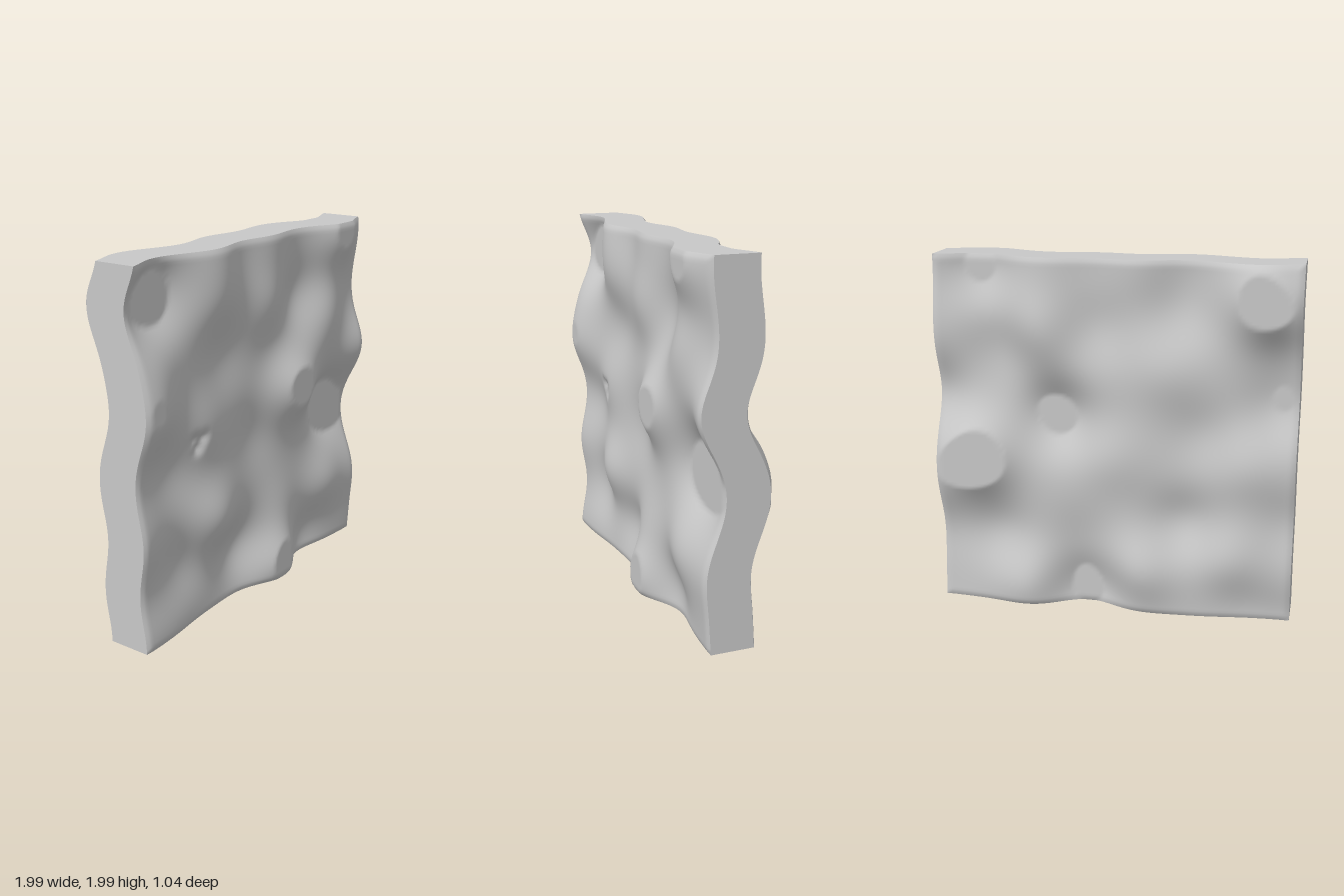
import * as THREE from 'three';

const SIZE = 1.985, THICK = 0.26, TURN = 0.345;

// hills and hollows of the slab: across, up, height
const BUMPS = [
  // left side
  [-1, 0, 0.04], [-0.74, 0.05, 0.03], [-1, 0.57, 0.045], [-0.91, 1.22, 0.085], [-0.9, 1.47, 0.045],
  [-1, 1.98, 0.06], [-0.82, 1.8, -0.13], [-0.72, 0.9, -0.04], [-0.63, 0.36, -0.045],
  // upper middle
  [-0.37, 1.72, 0.055], [-0.38, 1.96, 0.045], [-0.13, 1.96, -0.02], [0.11, 1.96, 0.03],
  [0.35, 1.97, -0.015], [-0.28, 1.4, -0.035], [0.1, 1.62, 0.05], [0.4, 1.6, -0.065],
  // upper right
  [0.74, 1.93, 0.11], [0.62, 1.5, 0.06], [1, 1.55, -0.015], [1, 1.22, 0.08], [0.6, 1.28, 0.025],
  // centre
  [0.31, 1.11, 0.125], [0.12, 1.36, -0.015], [-0.5, 1.05, 0.04], [0, 0.9, -0.035],
  // lower half
  [0.76, 0.88, -0.13], [1, 0.73, -0.035], [1, 0.4, 0.035], [0.66, 0.42, 0.06],
  [-0.4, 0.54, 0.075], [-0.16, 0.26, -0.07], [0.18, 0.4, 0.035], [0.16, 0.1, 0.125],
  [0.47, 0.12, -0.06], [1, 0.1, 0.015],
];

const bell = (dx, dy, r) => Math.exp(-(dx * dx + dy * dy) / (2 * r * r));

// wave height, cut flat at the highest and lowest levels
function wave(u, v) {
  let d = 0;
  for (const [bu, bv, h] of BUMPS) d += h * bell(u - bu, v - bv, 0.145);
  return THREE.MathUtils.clamp(d, -0.06, 0.09);
}

// small three-lobed chip in the front
function chip(u, v) {
  let d = 0;
  for (let i = 0; i < 3; i++) {
    const a = 0.5 + i * Math.PI * 2 / 3;
    d += 0.025 * bell(u + 0.53 - 0.035 * Math.cos(a), v - 1.01 - 0.035 * Math.sin(a), 0.022);
  }
  return d;
}

export function createModel() {
  const stone = new THREE.MeshStandardMaterial({ color: 0xc8c8c8 });
  stone.name = 'stoneGrey';

  // subdivided slab, both faces following the same waves
  const geo = new THREE.BoxGeometry(SIZE, SIZE, THICK, 120, 120, 4);
  geo.translate(0, SIZE / 2, 0);
  const p = geo.attributes.position;
  for (let i = 0; i < p.count; i++) {
    const u = p.getX(i), v = p.getY(i), w = p.getZ(i);
    // slightly softened rim
    const edge = Math.min(SIZE / 2 - Math.abs(u), v, SIZE - v);
    const soft = 1 - 0.09 * Math.max(0, 1 - edge / 0.033) ** 2;
    const dent = w > THICK / 2 - 0.001 ? chip(u, v) : 0;
    p.setZ(i, w * soft + wave(u, v) - dent);
  }
  geo.computeVertexNormals();

  const slab = new THREE.Mesh(geo, stone);
  slab.name = 'wavySlab';
  slab.rotation.y = TURN;

  const group = new THREE.Group();
  group.name = 'wavyPanel';
  group.add(slab);
  return group;
}
